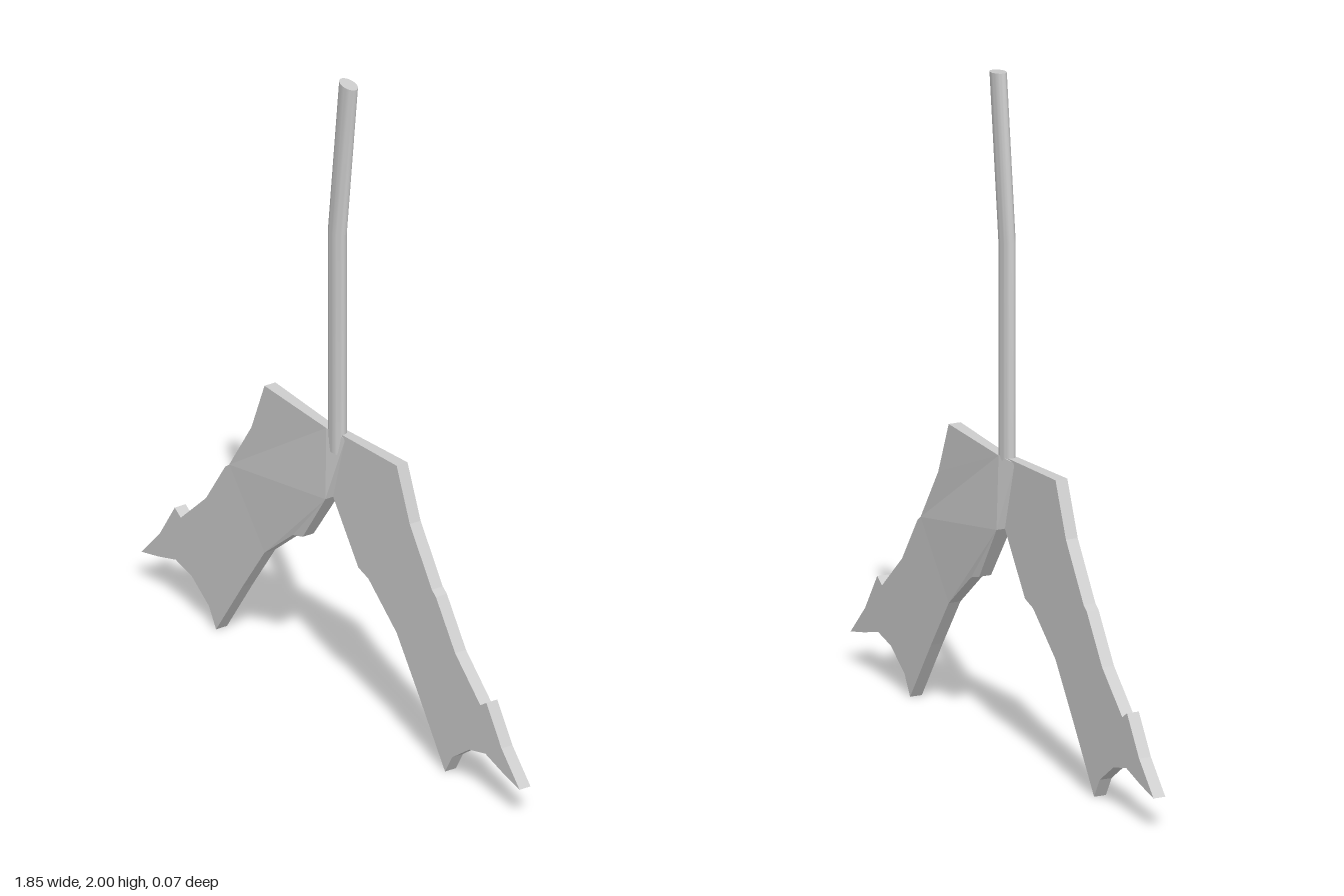
import * as THREE from 'three';
import { toCreasedNormals } from 'three/addons/utils/BufferGeometryUtils.js';

const material = new THREE.MeshStandardMaterial({ color: 0xcccccc });

// Outline of one blade, running down to the forked tip and back up
const bladeOutline = [
  [-0.315, 0.88], [-0.02, 0.865], [0.06, 0.86], [0, 0.65], [-0.125, 0.475], [-0.175, 0.46],
  [-0.315, 0.345], [-0.425, 0.19], [-0.555, 0], [-0.59, 0.06], [-0.675, 0.12],
  [-0.755, 0.14], [-0.84, 0.115], [-0.925, 0.095], [-0.835, 0.19], [-0.76, 0.305],
  [-0.73, 0.285], [-0.605, 0.4], [-0.51, 0.54], [-0.49, 0.555], [-0.38, 0.72],
];

function bladeGeometry() {
  const shape = new THREE.Shape(bladeOutline.map(([x, y]) => new THREE.Vector2(x, y)));
  const geometry = new THREE.ExtrudeGeometry(shape, { depth: 0.038, bevelEnabled: false });
  geometry.translate(0, 0, -0.01);
  const p = geometry.attributes.position;
  for (let i = 0; i < p.count; i++) {
    if (p.getZ(i) < 0) continue;
    // the outer face swells at the crotch and sinks into the other blade at the top
    if (Math.abs(p.getX(i)) < 0.005) p.setZ(i, 0.037);
    else if (p.getX(i) > 0.05) p.setZ(i, 0.009);
    else if (p.getX(i) > -0.03) p.setZ(i, 0.02);
  }
  geometry.computeVertexNormals();
  return geometry;
}

// Oval rod: straight up to a bend, then leaning to the side
function rodGeometry() {
  const geometry = new THREE.CylinderGeometry(1, 1, 2, 32, 2);
  const rings = [
    { x: 0.01, y: 0.8, tilt: 0 },
    { x: 0.01, y: 1.505, tilt: -0.06 },
    { x: 0.065, y: 1.996, tilt: -0.11 },
  ];
  const p = geometry.attributes.position;
  for (let i = 0; i < p.count; i++) {
    const ring = rings[Math.round(p.getY(i)) + 1];
    const dx = p.getX(i) * 0.036;
    p.setXYZ(i, ring.x + dx, ring.y + dx * ring.tilt, 0.002 + p.getZ(i) * 0.021);
  }
  geometry.computeVertexNormals();
  return toCreasedNormals(geometry, Math.PI / 5);
}

export function createModel() {
  const group = new THREE.Group();
  group.name = 'forkedStand';

  const add = (name, geometry) => {
    const mesh = new THREE.Mesh(geometry, material);
    mesh.name = name;
    group.add(mesh);
    return mesh;
  };

  // Two equal blades, half a turn apart, overlapping at the middle
  const blade = bladeGeometry();
  add('rightBlade', blade);
  add('leftBlade', blade).rotation.y = Math.PI;
  add('bentRod', rodGeometry());
  return group;
}
